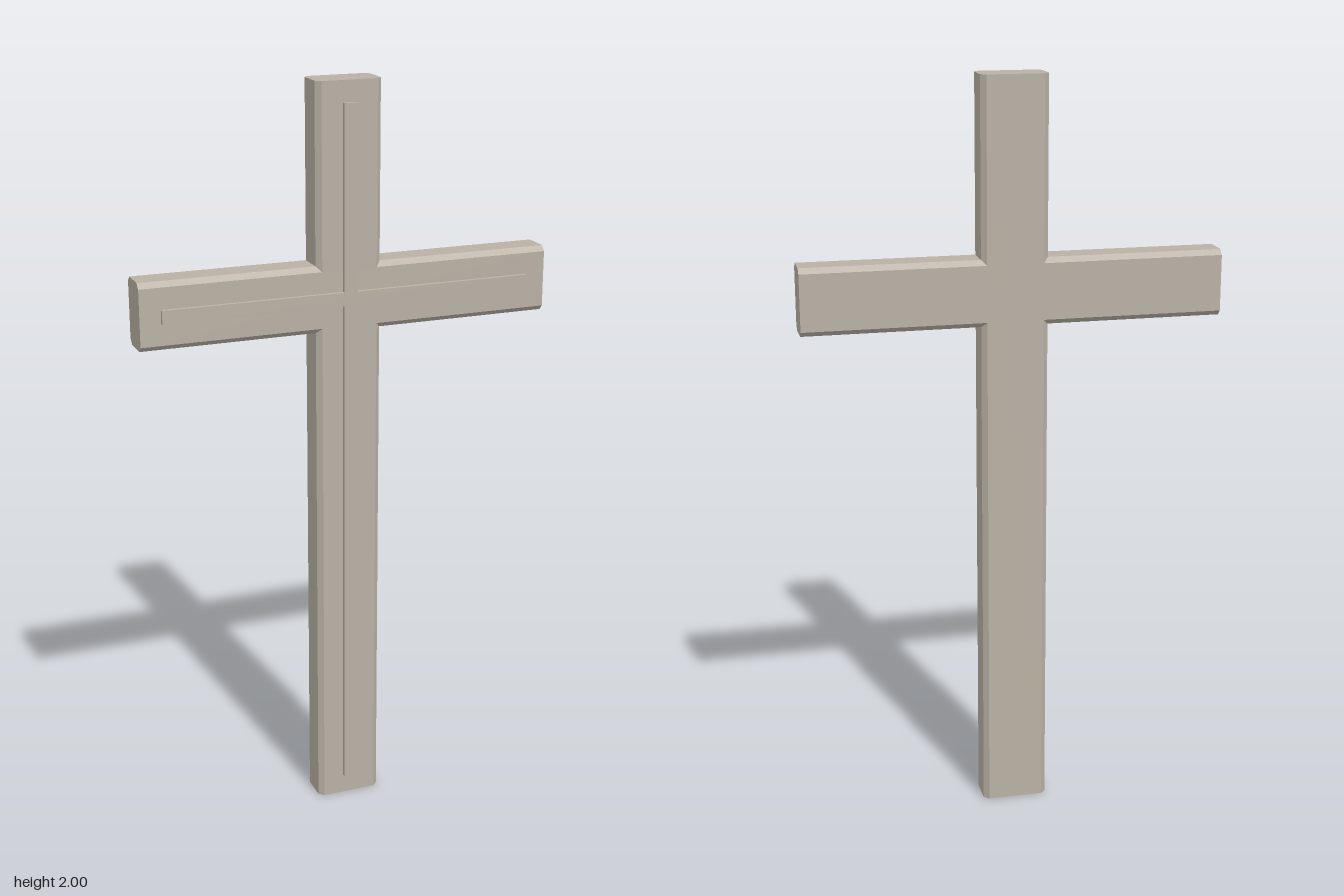
import * as THREE from 'three';

const HALF = 0.088, BACK = -0.056, FRONT = 0.041, CHAMFER = 0.0135;
const RIDGE = 0.018, RIDGE_FRONT = 0.052, ARM_Y = 1.447;

// Beam along +y from 0 to length, with four chamfered long edges
function beamGeometry(length) {
  const s = new THREE.Shape();
  // shape y becomes -z after the turn upright
  const lo = -FRONT, hi = -BACK, c = CHAMFER;
  [[-HALF + c, lo], [HALF - c, lo], [HALF, lo + c], [HALF, hi - c],
    [HALF - c, hi], [-HALF + c, hi], [-HALF, hi - c], [-HALF, lo + c]]
    .forEach(([x, y], i) => (i ? s.lineTo(x, y) : s.moveTo(x, y)));
  s.closePath();
  const g = new THREE.ExtrudeGeometry(s, { depth: length, bevelEnabled: false });
  return g.rotateX(-Math.PI / 2);
}

export function createModel() {
  const stone = new THREE.MeshStandardMaterial({ color: 0xb9b1a5 });
  stone.name = 'warm grey stone';
  const model = new THREE.Group();
  model.name = 'cross';

  const add = (name, geometry, x = 0, y = 0, z = 0) => {
    const mesh = new THREE.Mesh(geometry, stone);
    mesh.name = name;
    mesh.position.set(x, y, z);
    model.add(mesh);
  };

  // Upright and crossbar share one chamfered section
  add('upright', beamGeometry(2));
  add('crossbar', beamGeometry(1.11).translate(0, -0.555, 0).rotateZ(Math.PI / 2), 0, ARM_Y);

  // Raised ridges on the front face, slightly sunk into the beams
  const depth = RIDGE_FRONT - FRONT + 0.005;
  const z = RIDGE_FRONT - depth / 2;
  add('uprightRidge', new THREE.BoxGeometry(RIDGE * 2, 1.89, depth), 0, 1, z);
  add('crossbarRidge', new THREE.BoxGeometry(1, RIDGE * 2, depth), 0, ARM_Y, z);

  return model;
}
